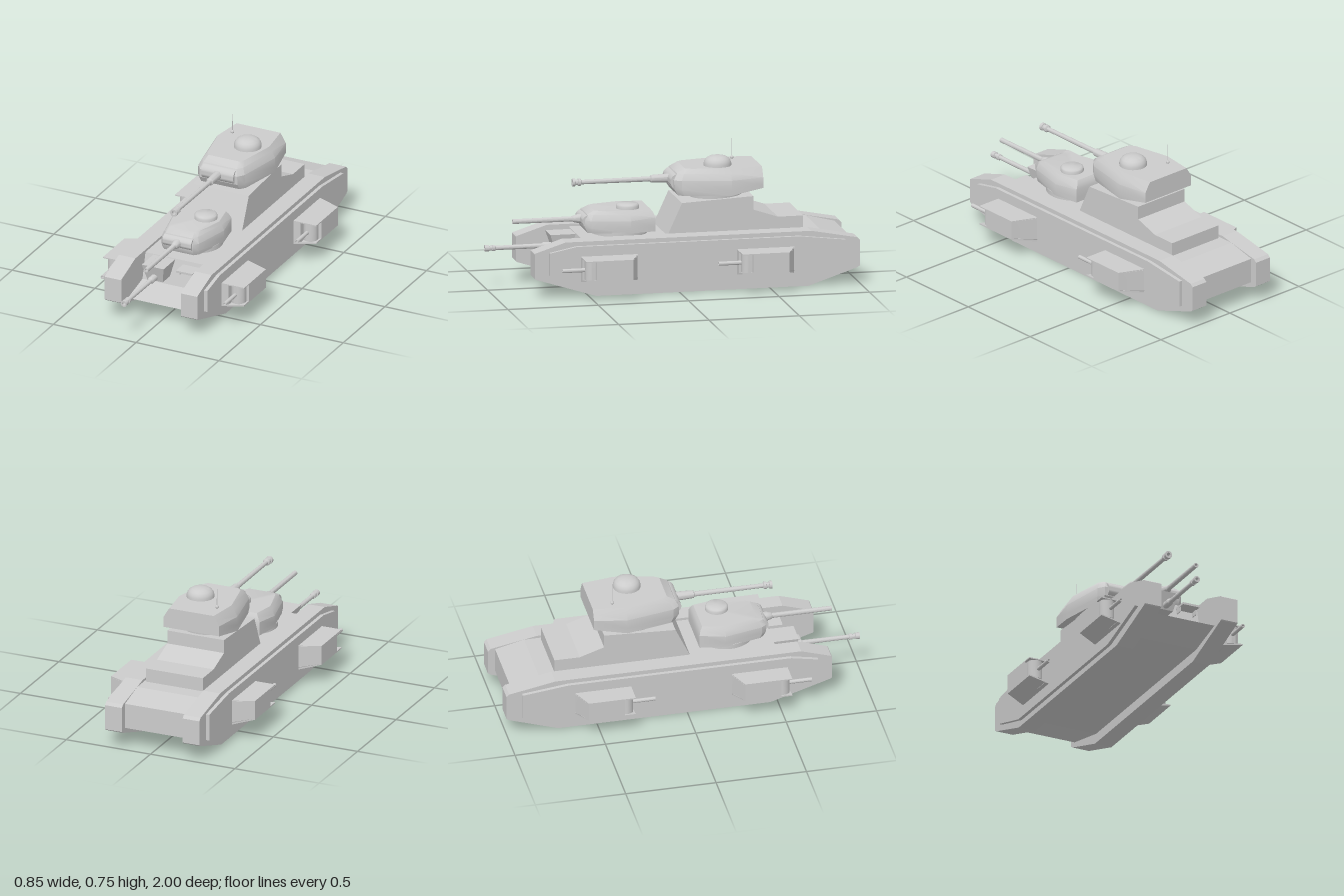
import * as THREE from 'three';
import { toCreasedNormals } from 'three/addons/utils/BufferGeometryUtils.js';

const CX = -0.01; // centre line of hull and turrets
const mat = new THREE.MeshStandardMaterial({ color: 0xcccccc });

function add(parent, name, geo, x = 0, y = 0, z = 0) {
  const mesh = new THREE.Mesh(geo, mat);
  mesh.name = name;
  mesh.position.set(x, y, z);
  parent.add(mesh);
  return mesh;
}

// Side profile of [z, y] points, extruded between x0 and x1
function slab(points, x0, x1) {
  const shape = new THREE.Shape(points.map(([z, y]) => new THREE.Vector2(z, y)));
  const geo = new THREE.ExtrudeGeometry(shape, { depth: x1 - x0, bevelEnabled: false });
  return geo.rotateY(-Math.PI / 2).translate(x1, 0, 0);
}

// Closed skin over rings of [x, y, z] points (clockwise from above, lowest ring first)
function loft(rings, crease = 0.5) {
  const n = rings[0].length, idx = [], last = (rings.length - 1) * n;
  for (let r = 0; r < rings.length - 1; r++)
    for (let i = 0; i < n; i++) {
      const a = r * n + i, b = r * n + (i + 1) % n;
      idx.push(a, a + n, b + n, a, b + n, b);
    }
  for (let i = 1; i < n - 1; i++) idx.push(0, i, i + 1, last, last + i + 1, last + i);
  const geo = new THREE.BufferGeometry();
  geo.setAttribute('position', new THREE.Float32BufferAttribute(rings.flat(2), 3));
  geo.setIndex(idx);
  return toCreasedNormals(geo, crease);
}

// Turned part along z from [radius, z] points
function turned(points) {
  const geo = new THREE.LatheGeometry(points.map(p => new THREE.Vector2(p[0], p[1])), 20);
  return toCreasedNormals(geo.rotateX(Math.PI / 2), 0.6);
}

// Row: y, y at the back, then half width and z of back, middle, shoulder and nose
function turretBody(rows) {
  return loft(rows.map(([y, yBack, ...p]) => {
    const half = [0, 1, 2, 3].map(i => [p[2 * i], i ? y : yBack, p[2 * i + 1]]);
    return [...half, ...half.map(([x, h, z]) => [-x, h, z]).reverse()];
  }));
}

// Gun mantlet: horizontal half-drum bulging from the nose
function mantlet(width, height, depth) {
  const geo = new THREE.CylinderGeometry(1, 1, width, 28);
  geo.rotateZ(Math.PI / 2).scale(1, height / 2, depth);
  return toCreasedNormals(geo, 0.6);
}

function dome(r, points) {
  const geo = new THREE.LatheGeometry(points.map(([k, y]) => new THREE.Vector2(k * r, y)), 32);
  return toCreasedNormals(geo, 0.7);
}

function sponson(z0, side) {
  const g = new THREE.Group();
  g.name = side > 0 ? 'leftSponson' : 'rightSponson';
  // Cross-section: flat roof, floor rising towards the outside, rear end slanted
  const ring = (yIn, yOut, front) => [
    [0.26, yIn, z0 - 0.33], [0.29, yIn, z0 - 0.315], [0.427, yOut, z0 - 0.26],
    [0.427, yOut, front], [0.26, yIn, front]];
  const parts = [
    ['sponsonBody', loft([ring(0.08, 0.115, z0 - 0.06), ring(0.225, 0.225, z0 - 0.06)], 0.1)],
    ['sponsonRoof', loft([ring(0.219, 0.219, z0), ring(0.225, 0.225, z0)], 0.1)],
    ['sponsonFloor', loft([ring(0.08, 0.115, z0), ring(0.09, 0.122, z0)], 0.1)],
    ['sponsonCheek', new THREE.BoxGeometry(0.07, 0.13, 0.1).translate(0.297, 0.158, z0 - 0.05)],
    ['sponsonDrum', toCreasedNormals(new THREE.CylinderGeometry(0.041, 0.041, 0.106, 28), 0.6)
      .translate(0.373, 0.169, z0 - 0.045)],
    ['sponsonGun', turned([[0, -0.05], [0.011, -0.05], [0.011, 0.12], [0.006, 0.12], [0.006, 0.09], [0, 0.09]])
      .translate(0.369, 0.168, z0)],
  ];
  for (const [name, geo] of parts) {
    if (side < 0) {
      // Mirror by vertices and reverse the winding
      const flat = geo.index ? geo.toNonIndexed() : geo;
      flat.scale(-1, 1, 1);
      const p = flat.attributes.position.array;
      for (let i = 0; i < p.length; i += 9)
        for (let k = 3; k < 6; k++) [p[i + k], p[i + k + 3]] = [p[i + k + 3], p[i + k]];
      add(g, name, toCreasedNormals(flat, 0.3));
    } else add(g, name, geo);
  }
  return g;
}

export function createModel() {
  const tank = new THREE.Group();
  tank.name = 'tank';

  // Track units and raised side plates
  const track = [[0.8, 0.245], [0.795, 0.25], [0.63, 0.303], [-0.73, 0.303], [-0.985, 0.255], [-1, 0.24],
    [-1, 0.1], [-0.985, 0.09], [-0.715, 0], [0.46, 0], [0.795, 0.105], [0.8, 0.11]];
  const plate = [[0.72, 0.25], [0.57, 0.28], [-0.66, 0.28], [-0.915, 0.25],
    [-0.915, 0.1], [-0.68, 0.03], [0.39, 0.03], [0.72, 0.125]];
  for (const s of [-1, 1]) {
    const span = (a, b) => (s > 0 ? [CX + a, CX + b] : [CX - b, CX - a]);
    add(tank, 'track', slab(track, ...span(0.18, 0.28)));
    add(tank, 'sidePlate', slab(plate, ...span(0.27, 0.3)));
    for (const z of [0.55, -0.315]) tank.add(sponson(z, s));
  }

  // Hull between the tracks
  add(tank, 'hull', slab([[0.51, 0.289], [0.545, 0.145], [0.72, 0.105], [0.5, 0.053], [-0.7, 0.053],
    [-0.96, 0.11], [-0.96, 0.25], [-0.8, 0.289]], CX - 0.185, CX + 0.185));

  // Stepped superstructure under the main turret
  add(tank, 'superstructure', slab([[0.045, 0.28], [-0.04, 0.465], [-0.435, 0.485], [-0.435, 0.41],
    [-0.57, 0.365], [-0.71, 0.365], [-0.71, 0.28]], CX - 0.168, CX + 0.168));

  // Main turret
  const main = new THREE.Group();
  main.name = 'mainTurret';
  tank.add(main);
  add(main, 'turretRing', toCreasedNormals(new THREE.CylinderGeometry(0.153, 0.148, 0.055, 40), 0.6), CX, 0.488, -0.262);
  add(main, 'turretBody', turretBody([
    [0.497, 0.527, 0.165, -0.49, 0.191, -0.31, 0.14, -0.06, 0.115, -0.03],
    [0.53, 0.545, 0.165, -0.49, 0.191, -0.31, 0.142, -0.045, 0.115, -0.01],
    [0.58, 0.585, 0.165, -0.49, 0.191, -0.31, 0.14, -0.045, 0.113, -0.008],
    [0.615, 0.615, 0.148, -0.49, 0.172, -0.31, 0.125, -0.06, 0.1, -0.028],
    [0.64, 0.64, 0.132, -0.49, 0.156, -0.31, 0.112, -0.1, 0.092, -0.072],
  ]), CX);
  add(main, 'mantlet', mantlet(0.194, 0.086, 0.045), CX, 0.568, -0.037);
  add(main, 'mainGun', turned([[0, -0.05], [0.024, -0.05], [0.024, 0.03], [0.021, 0.095], [0.014, 0.1], [0.012, 0.48],
    [0.02, 0.485], [0.02, 0.498], [0.015, 0.5], [0.015, 0.513], [0.021, 0.515], [0.021, 0.53], [0.011, 0.53],
    [0.011, 0.47], [0, 0.47]]), CX, 0.57, 0);
  add(main, 'cupola', dome(0.075, [[1, -0.01], [1, 0.012], [0.95, 0.026], [0.83, 0.039], [0.62, 0.049], [0.35, 0.054], [0, 0.056]]),
    0.04, 0.64, -0.262);
  add(main, 'antennaBase', new THREE.SphereGeometry(0.01, 16, 10), -0.11, 0.646, -0.375);
  add(main, 'antenna', new THREE.CylinderGeometry(0.0018, 0.0025, 0.11, 8), -0.11, 0.696, -0.375);

  // Front turret
  const front = new THREE.Group();
  front.name = 'frontTurret';
  tank.add(front);
  add(front, 'turretRing', toCreasedNormals(new THREE.CylinderGeometry(0.153, 0.153, 0.04, 40), 0.6), CX, 0.295, 0.27);
  add(front, 'turretBody', turretBody([
    [0.309, 0.309, 0.135, 0.1, 0.16, 0.24, 0.112, 0.44, 0.09, 0.465],
    [0.335, 0.335, 0.135, 0.1, 0.16, 0.24, 0.114, 0.45, 0.09, 0.478],
    [0.376, 0.385, 0.135, 0.1, 0.16, 0.24, 0.113, 0.45, 0.088, 0.48],
    [0.408, 0.41, 0.122, 0.108, 0.145, 0.242, 0.1, 0.435, 0.08, 0.465],
    [0.427, 0.427, 0.11, 0.12, 0.133, 0.245, 0.092, 0.4, 0.074, 0.425],
  ]), CX);
  add(front, 'mantlet', mantlet(0.172, 0.07, 0.04), CX, 0.37, 0.453);
  add(front, 'frontGun', turned([[0, -0.05], [0.025, -0.05], [0.025, 0.01], [0.018, 0.035], [0.014, 0.04], [0.013, 0.37],
    [0.008, 0.37], [0.008, 0.33], [0, 0.33]]), CX, 0.37, 0.49);
  add(front, 'hatch', dome(0.063, [[1, -0.01], [1, 0.014], [0.94, 0.022], [0.82, 0.027], [0, 0.028]]), 0.037, 0.427, 0.235);

  // Hull gun in a tapered housing on the glacis
  const face = (y, x0, x1, z) => [[x1, y, 0.5], [x1, y, z], [x0, y, z], [x0, y, 0.5]];
  add(tank, 'hullGunHousing', loft([face(0.19, -0.124, -0.03, 0.62), face(0.285, -0.142, -0.01, 0.65)], 0.1));
  add(tank, 'hullGun', turned([[0, -0.06], [0.019, -0.06], [0.019, 0.035], [0.013, 0.045], [0.012, 0.3], [0.017, 0.303],
    [0.017, 0.318], [0.013, 0.32], [0.013, 0.335], [0.018, 0.337], [0.018, 0.36], [0.01, 0.36], [0.01, 0.3], [0, 0.3]]),
    -0.075, 0.215, 0.64);

  // Driver's visor: hood with a pair of side brackets
  add(tank, 'visorHood', new THREE.BoxGeometry(0.1, 0.012, 0.09), 0.09, 0.262, 0.557);
  for (const x of [0.043, 0.137])
    add(tank, 'visorBracket', new THREE.BoxGeometry(0.005, 0.036, 0.05), x, 0.246, 0.54);
  return tank;
}
